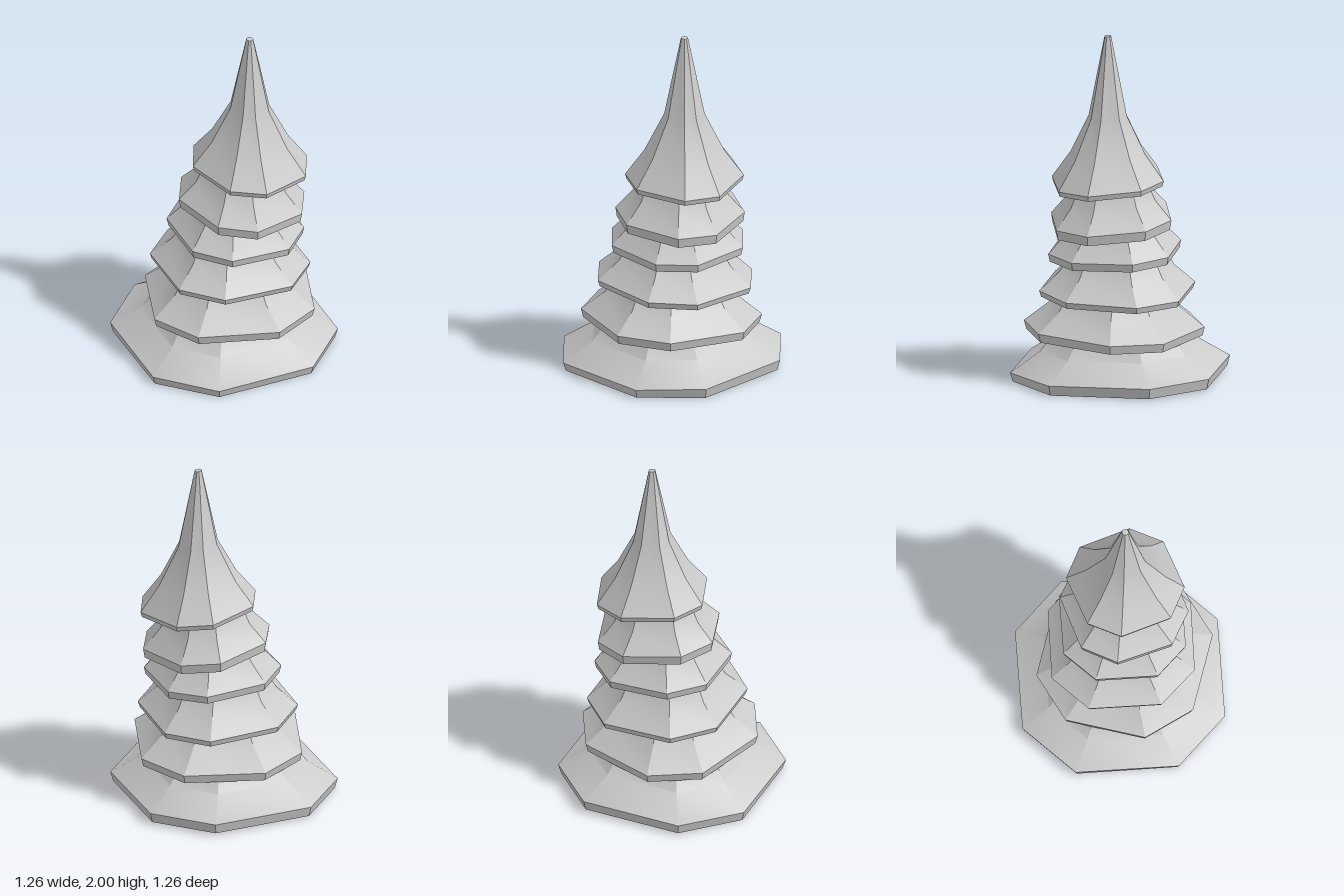
import * as THREE from 'three';
import { toCreasedNormals } from 'three/addons/utils/BufferGeometryUtils.js';

const material = new THREE.MeshStandardMaterial({ color: 0xcccccc });

// Per tier: rim centre, radius, rim bottom and top heights, phase in degrees, tilt along x and z
const tiers = [
  { x: 0, z: 0, r: 0.642, y0: 0, y1: 0.06, phase: 11, tx: 0, tz: -0.02 },
  { x: 0.03, z: 0.02, r: 0.51, y0: 0.25, y1: 0.3, phase: 29, tx: 0, tz: 0.03 },
  { x: 0.035, z: 0, r: 0.453, y0: 0.485, y1: 0.52, phase: 12, tx: -0.03, tz: 0.03 },
  { x: 0.065, z: 0, r: 0.388, y0: 0.71, y1: 0.755, phase: 11, tx: -0.05, tz: -0.01 },
  { x: 0.1, z: 0.003, r: 0.365, y0: 0.885, y1: 0.94, phase: -6, tx: -0.1, tz: -0.02 },
  { x: 0.147, z: 0, r: 0.335, y0: 1.14, y1: 1.17, phase: -8, tx: -0.085, tz: -0.03 },
];

// Outline above the rim: [fraction of radius, height above the rim]
const skirt = [[0.73, 0.11], [0.63, 0.19], [0.5, 0.3], [0, 0.3]];
const crown = [[0.67, 0.15], [0.34, 0.37], [0.06, 0.83], [0, 0.83]];

// Eight-sided tier with alternating long and short sides, sheared to tilt it
function makeTier(t, outline) {
  const points = [[0, t.y0], [t.r * 0.975, t.y0], [t.r, t.y1],
    ...outline.map(([f, h]) => [t.r * f, t.y1 + h])];
  const geometry = new THREE.LatheGeometry(points.map(([r, y]) => new THREE.Vector2(r, y)), 8);
  const pos = geometry.attributes.position;
  for (let i = 0; i < pos.count; i++) {
    const px = pos.getX(i), pz = pos.getZ(i), r = Math.hypot(px, pz);
    const k = Math.round(Math.atan2(pz, px) / (Math.PI / 4));
    const angle = THREE.MathUtils.degToRad(t.phase + k * 45 - (k & 1 ? 9 : 0));
    const x = r * Math.cos(angle), z = r * Math.sin(angle);
    const y = Math.max(0, pos.getY(i) + t.tx * x + t.tz * z);
    pos.setXYZ(i, t.x + x, y, t.z + z);
  }
  return toCreasedNormals(geometry, 0.45);
}

export function createModel() {
  const tree = new THREE.Group();
  tree.name = 'tree';
  tiers.forEach((t, i) => {
    const top = i === tiers.length - 1;
    const mesh = new THREE.Mesh(makeTier(t, top ? crown : skirt), material);
    mesh.name = top ? 'crown' : `branchTier${i + 1}`;
    tree.add(mesh);
  });
  return tree;
}
